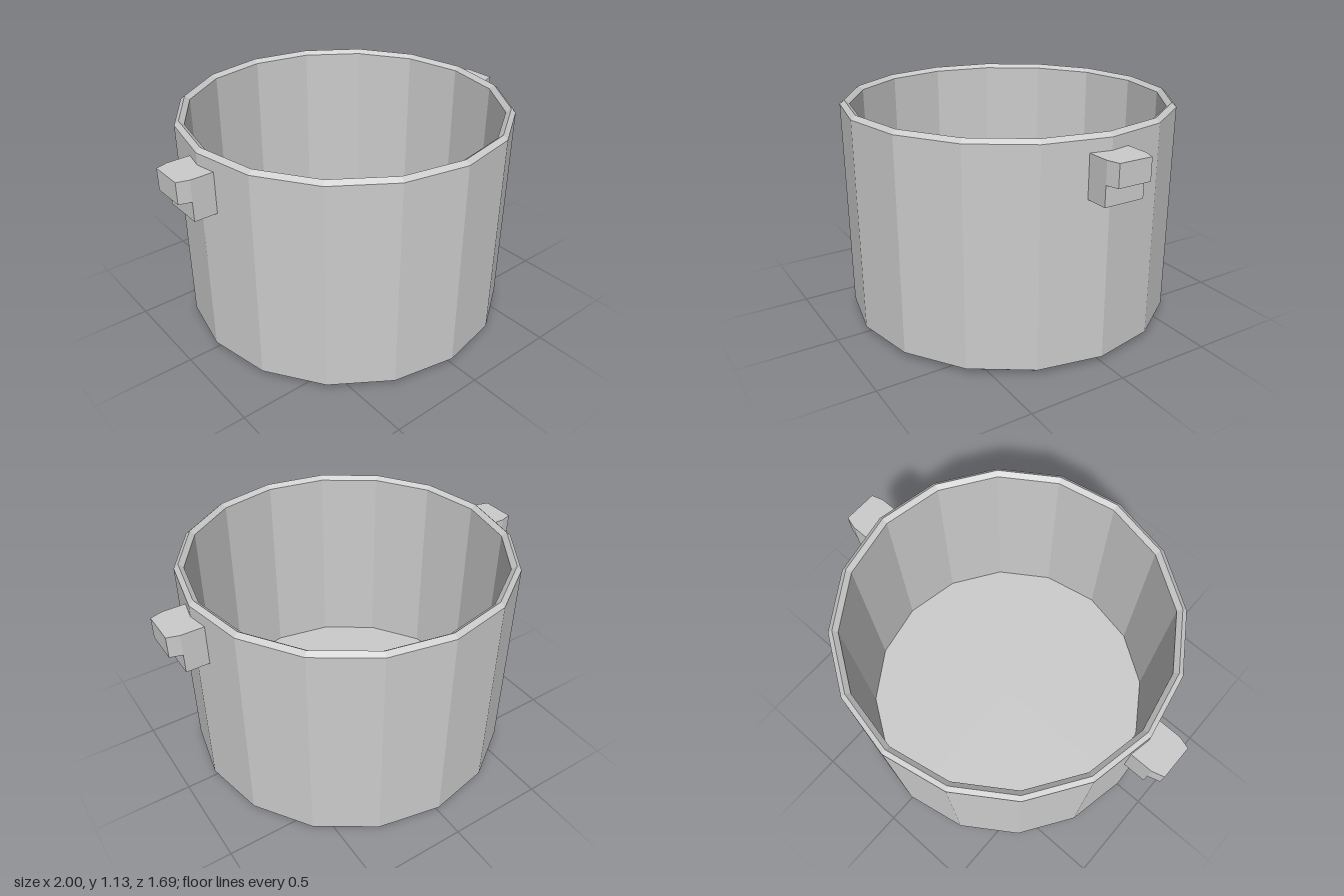
import * as THREE from 'three';

export function createModel() {
  const model = new THREE.Group();
  model.name = 'pot';
  const material = new THREE.MeshStandardMaterial({ color: 0xcccccc, flatShading: true });

  function addPart(parent, name, geometry) {
    const mesh = new THREE.Mesh(geometry, material);
    mesh.name = name;
    parent.add(mesh);
    return mesh;
  }

  // Hollow body: chamfered base, straight wall, peaked rim, inner wall and floor
  const profile = [
    [0, 0], [0.8, 0], [0.845, 0.03], [0.845, 1.11],
    [0.822, 1.13], [0.797, 1.11], [0.797, 0.05], [0, 0.05],
  ].map(([r, y]) => new THREE.Vector2(r, y));
  addPart(model, 'body', new THREE.LatheGeometry(profile, 16));

  // Grip outline seen from above, narrowing towards its outer end
  const gripShape = new THREE.Shape([
    [0.81, -0.105], [0.94, -0.105], [1, -0.087],
    [1, 0.087], [0.94, 0.105], [0.81, 0.105],
  ].map(([x, z]) => new THREE.Vector2(x, z)));

  // Stepped handles on opposite sides
  for (const [name, angle] of [['leftHandle', 0], ['rightHandle', Math.PI]]) {
    const handle = new THREE.Group();
    handle.name = name;
    handle.rotation.y = angle;

    const grip = new THREE.ExtrudeGeometry(gripShape, { depth: 0.11, bevelEnabled: false });
    grip.rotateX(-Math.PI / 2);
    addPart(handle, 'grip', grip).position.y = 0.94;

    const bracket = new THREE.BoxGeometry(0.13, 0.1, 0.21);
    addPart(handle, 'bracket', bracket).position.set(0.875, 0.89, 0);
    model.add(handle);
  }

  return model;
}
